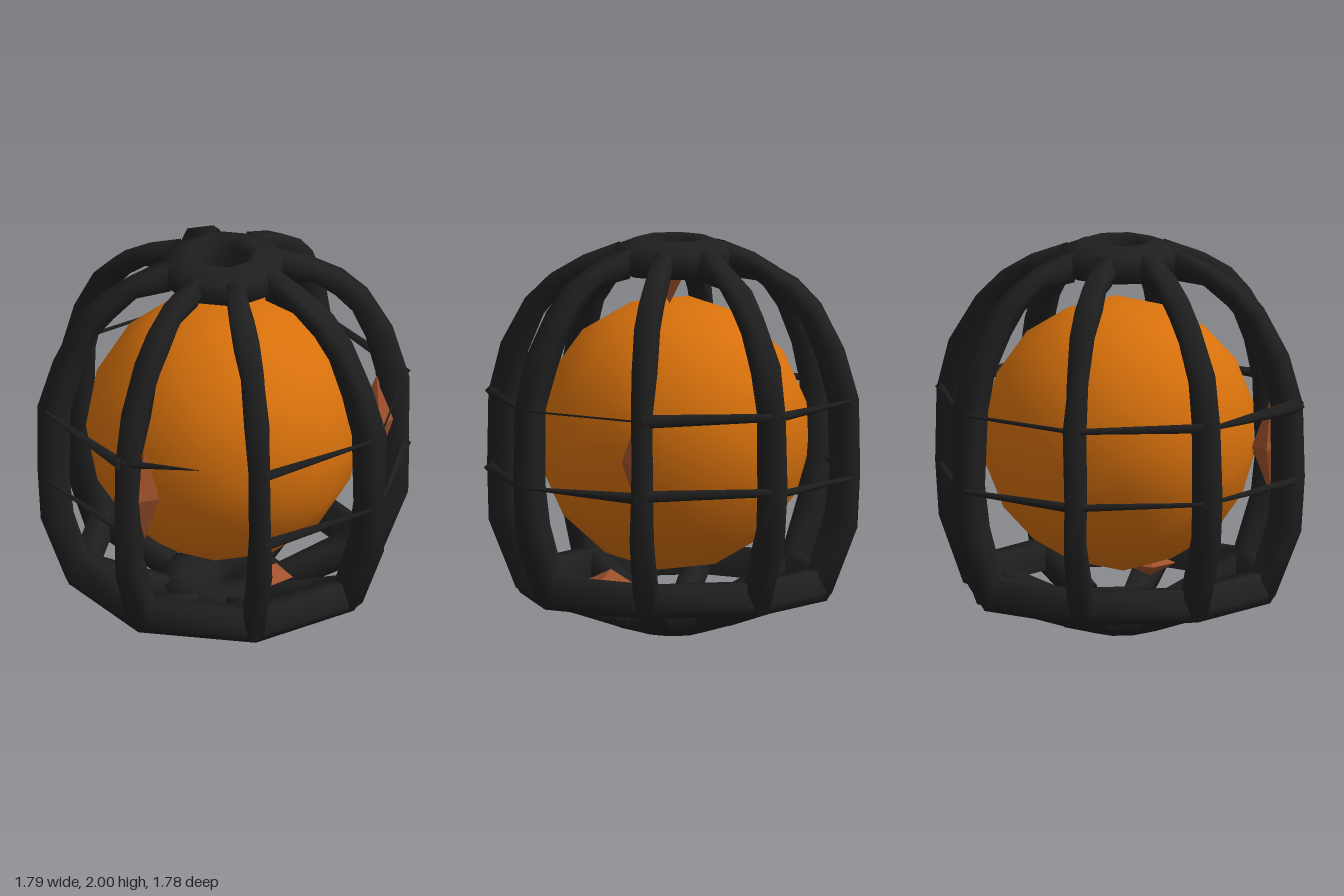
import * as THREE from 'three';

const RIBS = 8, STEP = Math.PI / 4;

// small seeded generator for the rough, hand-forged wobble
function makeRandom(seed) {
  return () => {
    seed = (seed * 16807) % 2147483647;
    return seed / 2147483647 - 0.5;
  };
}

// rib outline as [outer radius, outer y, inner radius, inner y, width factor], top to bottom
const RIB = [
  [0.28, 1.965, 0.28, 1.815, 0.8], [0.47, 1.89, 0.45, 1.795, 0.95],
  [0.62, 1.80, 0.57, 1.70, 1.05], [0.74, 1.68, 0.66, 1.59, 1.05], [0.87, 1.45, 0.74, 1.40, 0.95],
  [0.94, 1.2, 0.79, 1.2, 0.9], [0.945, 0.83, 0.80, 0.83, 0.9], [0.93, 0.55, 0.78, 0.62, 0.95],
  [0.80, 0.21, 0.69, 0.34, 1.05], [0.55, 0.13, 0.50, 0.26, 1.05], [0.29, 0.045, 0.29, 0.18, 1],
];

// loft a six-sided section down the rib outline
function ribGeometry(random) {
  const section = [[0, -0.045], [0, 0.045], [0.5, 0.063], [1, 0.04], [1, -0.04], [0.5, -0.063]];
  const n = section.length, pos = [], index = [];
  RIB.forEach(([ro, yo, ri, yi, width], i) => {
    for (const [t, w] of section) {
      pos.push(w * width + random() * 0.02, yo + (yi - yo) * t, ro + (ri - ro) * t + random() * 0.012);
    }
    if (i === 0) return;
    for (let j = 0; j < n; j++) {
      const a = (i - 1) * n + j, b = (i - 1) * n + (j + 1) % n;
      index.push(a, a + n, b, b, a + n, b + n);
    }
  });
  const geo = new THREE.BufferGeometry();
  geo.setAttribute('position', new THREE.Float32BufferAttribute(pos, 3));
  geo.setIndex(index);
  geo.computeVertexNormals();
  return geo;
}

// closed eight-sided ring whose corners sit on the ribs
function ringGeometry(profile) {
  const points = [...profile, profile[0]].map(([r, y]) => new THREE.Vector2(r, y));
  return new THREE.LatheGeometry(points, RIBS, STEP / 2);
}

export function createModel() {
  const iron = new THREE.MeshStandardMaterial({ color: 0x1f1f1f, side: THREE.DoubleSide });
  iron.name = 'blackIron';
  const orange = new THREE.MeshStandardMaterial({ color: 0xd8710c });
  orange.name = 'orange';
  const brown = new THREE.MeshStandardMaterial({ color: 0xa0522d, flatShading: true });
  brown.name = 'rustBrown';

  const model = new THREE.Group();
  model.name = 'cagedOrb';
  const add = (name, geo, material) => {
    const mesh = new THREE.Mesh(geo, material);
    mesh.name = name;
    model.add(mesh);
    return mesh;
  };

  // ball inside the cage
  add('orb', new THREE.IcosahedronGeometry(0.69, 2), orange).position.y = 1.01;

  // eight upright ribs
  const random = makeRandom(41);
  for (let k = 0; k < RIBS; k++) {
    add('rib', ribGeometry(random), iron).rotation.y = (k + 0.5) * STEP;
  }

  // rings that join the ribs
  add('topHub', ringGeometry([[0.13, 1.84], [0.24, 1.815], [0.32, 1.85], [0.31, 1.95],
    [0.18, 2.0], [0.12, 1.96]]), iron);
  add('lowerRing', ringGeometry([[0.66, 0.20], [0.78, 0.18], [0.81, 0.23], [0.77, 0.34],
    [0.67, 0.34]]), iron);
  add('bottomHub', ringGeometry([[0.06, 0.01], [0.14, 0], [0.32, 0.05], [0.33, 0.16],
    [0.22, 0.18], [0.06, 0.16]]), iron);

  // thin tapering crossbars: bay, height, start radius, end radius, share of the gap
  const bars = [
    [0, 1.21, 0.025, 0.002, 0.55], [1, 1.2, 0.03, 0.008, 1], [2, 1.2, 0.005, 0.005, 1],
    [3, 1.2, 0.035, 0.02, 1], [4, 1.2, 0.025, 0.008, 1], [5, 1.2, 0.008, 0.012, 1],
    [6, 1.2, 0.015, 0.025, 1], [7, 1.2, 0.012, 0.04, 1],
    [1, 0.81, 0.035, 0.01, 1], [2, 0.81, 0.006, 0.03, 1], [3, 0.82, 0.03, 0.02, 1],
    [4, 0.81, 0.02, 0.012, 1], [5, 0.81, 0.012, 0.025, 1], [6, 0.81, 0.02, 0.01, 1],
    [7, 0.82, 0.01, 0.022, 1],
  ];
  for (const [bay, y, r0, r1, share] of bars) {
    const length = 0.7 * share;
    const geo = new THREE.CylinderGeometry(r1, r0, length, 4);
    geo.rotateZ(-Math.PI / 2);
    geo.translate(length / 2 - 0.35, y, 0.86);
    add('crossbar', geo, iron).rotation.y = bay * STEP;
  }

  // rusty shards on the flanks of two ribs: angle, side of the rib
  for (const [angle, side] of [[-STEP / 2, 1], [STEP * 2.5, -1]]) {
    const geo = new THREE.OctahedronGeometry(1);
    geo.scale(0.085, 0.25, 0.1);
    geo.translate(side * 0.035, 0.97, 0.775);
    add('sideShard', geo, brown).rotation.y = angle;
  }

  // pointed shard under the crown and a flat one above the base
  const topShard = add('topShard', new THREE.ConeGeometry(1, 0.14, 4), brown);
  topShard.rotation.x = Math.PI;
  topShard.scale.set(0.1, 1, 0.08);
  topShard.position.set(0.16, 1.76, -0.08);
  const lowShard = add('lowShard', new THREE.OctahedronGeometry(1), brown);
  lowShard.scale.set(0.11, 0.06, 0.13);
  lowShard.position.set(0.28, 0.28, 0.19);

  return model;
}
